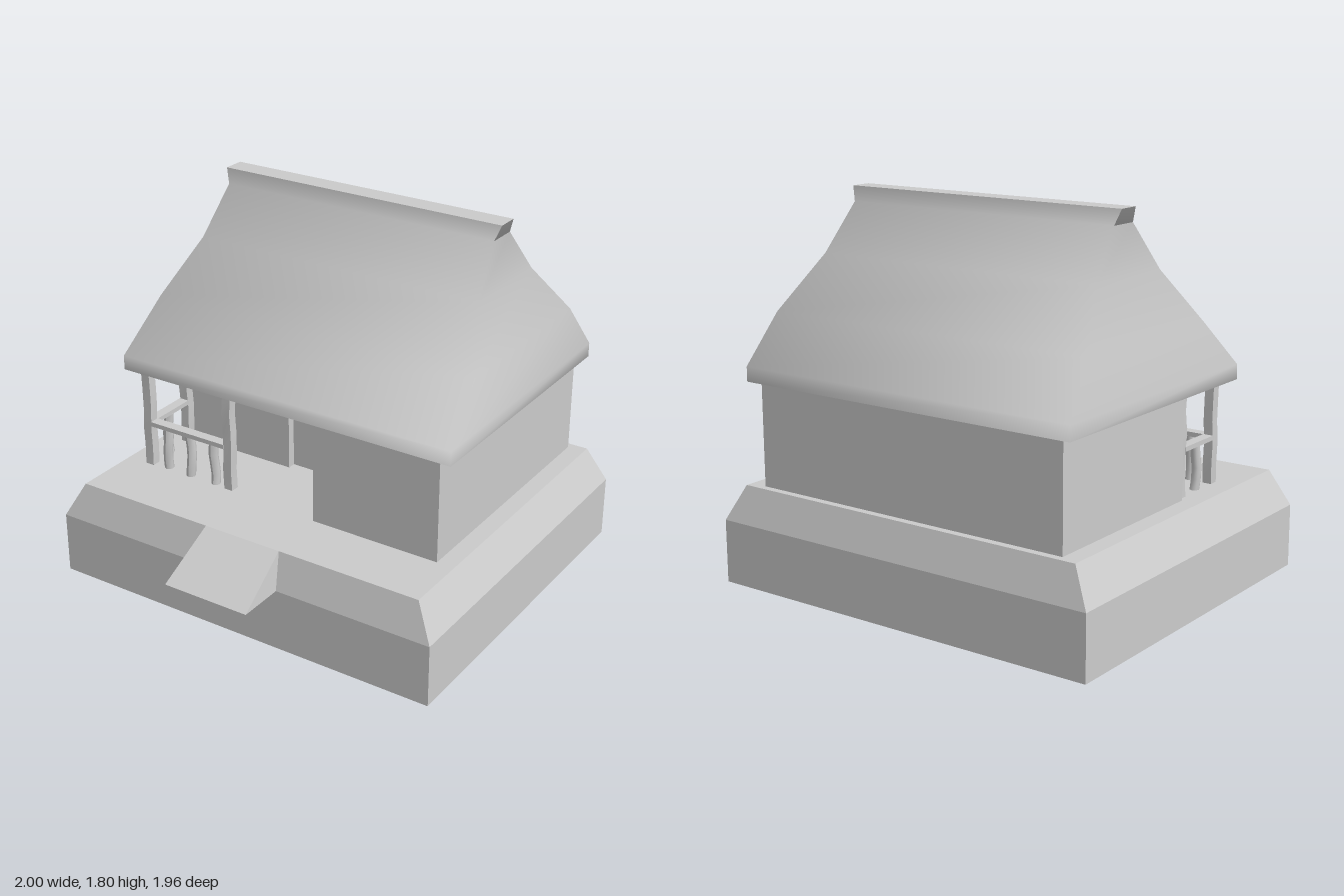
import * as THREE from 'three';

const grey = new THREE.MeshStandardMaterial({ color: 0xcccccc });
const greyOpen = new THREE.MeshStandardMaterial({ color: 0xcccccc, side: THREE.DoubleSide });

function addMesh(parent, name, geometry, material = grey) {
  const mesh = new THREE.Mesh(geometry, material);
  mesh.name = name;
  parent.add(mesh);
  return mesh;
}

// Flat-sided geometry from polygons, each a counter-clockwise list of corners
function facets(polygons) {
  const pos = [];
  for (const p of polygons)
    for (let i = 1; i < p.length - 1; i++) pos.push(...p[0], ...p[i], ...p[i + 1]);
  const g = new THREE.BufferGeometry();
  g.setAttribute('position', new THREE.Float32BufferAttribute(pos, 3));
  g.computeVertexNormals();
  return g;
}

// Rectangular cross-section, counter-clockwise seen from above
const ring = (hx, y, front, back) => [
  [hx, y, front], [hx, y, back], [-hx, y, back], [-hx, y, front],
];

// The wall polygon between two rings on side i
const side = (lo, hi, i) => {
  const j = (i + 1) % 4;
  return [lo[i], lo[j], hi[j], hi[i]];
};

// Plinth: open underneath, sloped shoulder with a gap for the ramp
function makePlinth(group) {
  const a = ring(1, 0, 0.755, -0.98);
  const b = ring(1, 0.3, 0.755, -0.98);
  const c = ring(0.91, 0.47, 0.7, -0.925);
  const lowL = [-0.22, 0.3, 0.755], lowR = [0.22, 0.3, 0.755];
  const topL = [-0.2, 0.47, 0.7], topR = [0.2, 0.47, 0.7];
  const polys = [c];
  for (let i = 0; i < 4; i++) polys.push(side(a, b, i));
  for (let i = 0; i < 3; i++) polys.push(side(b, c, i));
  polys.push([b[3], lowL, topL, c[3]], [lowR, b[0], c[0], topR]);
  addMesh(group, 'plinth', facets(polys), greyOpen);

  // Ramp wedge
  const footL = [-0.22, 0.3, 0.98], footR = [0.22, 0.3, 0.98];
  addMesh(group, 'ramp', facets([
    [footL, footR, topR, topL],
    [footR, lowR, topR],
    [lowL, footL, topL],
    [lowL, lowR, footR, footL],
  ]), greyOpen);
}

// House body: stepped plan leaving a porch at the front
function makeWalls(group) {
  const plan = [
    [0.825, 0.4], [0.825, -0.89], [-0.825, -0.89], [-0.825, 0.04],
    [-0.2, 0.04], [-0.2, 0], [0.18, 0], [0.18, 0.4],
  ];
  const shape = new THREE.Shape(plan.map(([x, z]) => new THREE.Vector2(x, -z)));
  const g = new THREE.ExtrudeGeometry(shape, { depth: 0.49, bevelEnabled: false });
  g.rotateX(-Math.PI / 2);
  g.translate(0, 0.47, 0);
  addMesh(group, 'walls', g);
}

// Slight hand-hewn waver along the height of an upright
function waver(g, phase, amount) {
  const p = g.attributes.position;
  for (let i = 0; i < p.count; i++) {
    const t = p.getY(i) * 22 + phase;
    p.setX(i, p.getX(i) + Math.sin(t) * amount);
    p.setZ(i, p.getZ(i) + Math.cos(t * 1.3) * amount);
  }
  g.computeVertexNormals();
  return g;
}

// Porch: square posts, handrails and round balusters
function makePorch(group) {
  const porch = new THREE.Group();
  porch.name = 'porch';
  group.add(porch);

  [[-0.783, 0.355], [-0.315, 0.355], [-0.783, 0.075]].forEach(([x, z], i) => {
    const g = waver(new THREE.BoxGeometry(0.045, 0.5, 0.045, 1, 5, 1), i * 2, 0.003);
    addMesh(porch, 'post', g).position.set(x, 0.715, z);
  });

  [[-0.68, 0.355], [-0.545, 0.355], [-0.405, 0.355], [-0.783, 0.225]].forEach(([x, z], i) => {
    const g = waver(new THREE.CylinderGeometry(0.023, 0.023, 0.215, 8, 4), i * 1.7, 0.004);
    addMesh(porch, 'baluster', g).position.set(x, 0.573, z);
  });

  addMesh(porch, 'frontRail', new THREE.BoxGeometry(0.43, 0.022, 0.05)).position.set(-0.55, 0.69, 0.355);
  addMesh(porch, 'sideRail', new THREE.BoxGeometry(0.05, 0.022, 0.25)).position.set(-0.783, 0.69, 0.215);
}

// Roof: smooth skin over stacked rectangles, with flat soffit and ridge top
function makeRoof(group) {
  const rings = [
    [0.88, 0.96, 0.41, -0.925],
    [0.88, 1.03, 0.41, -0.925],
    [0.845, 1.26, 0.16, -0.755],
    [0.74, 1.51, -0.045, -0.54],
    [0.71, 1.73, -0.22, -0.365],
    [0.735, 1.8, -0.24, -0.345],
  ].map((r) => ring(...r));

  const index = [];
  for (let r = 0; r < rings.length - 1; r++)
    for (let i = 0; i < 4; i++) {
      const a = r * 4 + i, b = r * 4 + ((i + 1) % 4);
      index.push(a, b, b + 4, a, b + 4, a + 4);
    }
  const skin = new THREE.BufferGeometry();
  skin.setAttribute('position', new THREE.Float32BufferAttribute(rings.flat(2), 3));
  skin.setIndex(index);
  skin.computeVertexNormals();

  addMesh(group, 'roof', skin);
  addMesh(group, 'ridgeTop', facets([rings[rings.length - 1]]));
  addMesh(group, 'soffit', facets([[...rings[0]].reverse()]));
}

export function createModel() {
  const group = new THREE.Group();
  group.name = 'thatchedHut';
  makePlinth(group);
  makeWalls(group);
  makePorch(group);
  makeRoof(group);
  return group;
}
